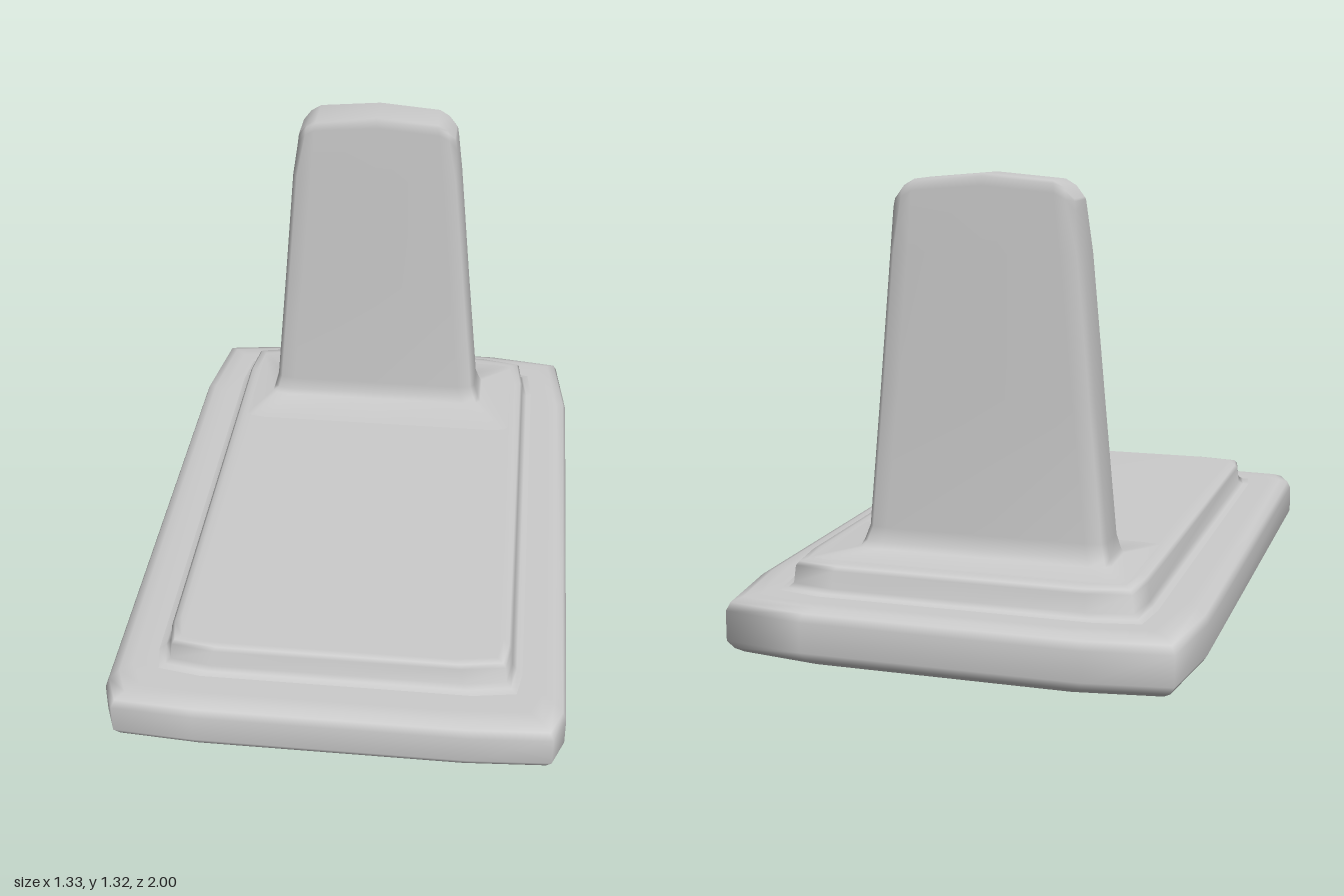
import * as THREE from 'three';

const material = new THREE.MeshStandardMaterial({ color: 0xcccccc, side: THREE.DoubleSide });

// Corner cuts: ax/az = where the straight sides end, cx/cz = corner point inset; F front, B back
const BASE = { ax: 0.27, cx: 0.035, czF: 0.015, czB: 0.035, azF: 0.1, azB: 0.3 };
const STEP = { ax: 0.14, cx: 0.015, czF: 0.02, czB: 0.025, azF: 0.1, azB: 0.15 };
const FIN = { ax: 0.06, cx: 0.014, czF: 0.008, czB: 0.008, azF: 0.022, azB: 0.022 };
const FIN_TOP = { ax: 0.057, cx: 0.025, czF: 0.004, czB: 0.004, azF: 0.012, azB: 0.012 };

// Closed 14-point outline, counter-clockwise from above, starting at the front middle.
// drop lowers [middle, side end, corner, end] points to dome the outline.
function ring(y, x0, x1, z0, z1, c, drop = [0, 0, 0, 0]) {
  const xm = (x0 + x1) / 2;
  const P = (x, z, k) => [x, y - drop[k], z];
  return [
    P(xm, z1, 0),
    P(x1 - c.ax, z1, 1), P(x1 - c.cx, z1 - c.czF, 2), P(x1, z1 - c.azF, 3),
    P(x1, z0 + c.azB, 3), P(x1 - c.cx, z0 + c.czB, 2), P(x1 - c.ax, z0, 1),
    P(xm, z0, 0),
    P(x0 + c.ax, z0, 1), P(x0 + c.cx, z0 + c.czB, 2), P(x0, z0 + c.azB, 3),
    P(x0, z1 - c.azF, 3), P(x0 + c.cx, z1 - c.czF, 2), P(x0 + c.ax, z1, 1),
  ];
}

// Skin a stack of outlines; the cap bridges front points to back points
function loft(name, rings, capped = false) {
  const n = rings[0].length;
  const index = [];
  const quad = (a, b, c, d) => index.push(a, b, c, a, c, d);
  for (let r = 0; r < rings.length - 1; r++) {
    for (let i = 0; i < n; i++) {
      const j = (i + 1) % n;
      quad(r * n + i, r * n + j, (r + 1) * n + j, (r + 1) * n + i);
    }
  }
  if (capped) {
    const o = (rings.length - 1) * n;
    const front = [11, 12, 13, 0, 1, 2, 3];
    const back = [10, 9, 8, 7, 6, 5, 4];
    for (let i = 0; i < 6; i++) quad(o + front[i], o + front[i + 1], o + back[i + 1], o + back[i]);
  }
  const geometry = new THREE.BufferGeometry();
  geometry.setAttribute('position', new THREE.Float32BufferAttribute(rings.flat(2), 3));
  geometry.setIndex(index);
  geometry.computeVertexNormals();
  const mesh = new THREE.Mesh(geometry, material);
  mesh.name = name;
  return mesh;
}

export function createModel() {
  const group = new THREE.Group();
  group.name = 'steppedBaseWithUprightFin';

  const baseRing = (y, inset) =>
    ring(y, -0.667 + inset, 0.663 - inset, -1 + inset, 1 - inset, BASE);
  const stepRing = (y, grow) =>
    ring(y, -0.5 - grow, 0.5 + grow, -0.84 - grow, 0.83 + grow, STEP);
  const stepFoot = stepRing(0.16, 0.035);
  // Where the plateau starts to rise towards the fin
  const flare = ring(0.241, -0.46, 0.455, -0.79, -0.36, FIN);

  // Open-bottomed base with a rounded rim
  group.add(loft('base', [
    baseRing(0, 0.035), baseRing(0.015, 0.015), baseRing(0.04, 0), baseRing(0.125, 0),
    baseRing(0.148, 0.01), baseRing(0.159, 0.035), baseRing(0.16, 0.07), stepFoot,
  ]));

  // Raised inner plate
  group.add(loft('raisedPlate', [
    stepFoot, stepRing(0.164, 0.018), stepRing(0.175, 0.005), stepRing(0.225, 0),
    stepRing(0.236, -0.008), stepRing(0.24, -0.025), flare,
  ]));

  // Tapered hollow fin with a gently domed top
  const dome = [0, 0.017, 0.035, 0.065];
  group.add(loft('fin', [
    flare,
    ring(0.252, -0.39, 0.352, -0.685, -0.5, FIN),
    ring(0.27, -0.383, 0.343, -0.676, -0.509, FIN),
    ring(0.31, -0.372, 0.33, -0.663, -0.516, FIN),
    ring(0.7, -0.336, 0.292, -0.663, -0.516, FIN),
    ring(1.1, -0.3, 0.255, -0.663, -0.516, FIN),
    ring(1.285, -0.28, 0.24, -0.663, -0.516, FIN_TOP, dome),
    ring(1.31, -0.277, 0.236, -0.66, -0.519, FIN_TOP, dome),
    ring(1.317, -0.275, 0.233, -0.653, -0.526, FIN_TOP, dome),
  ], true));

  return group;
}
